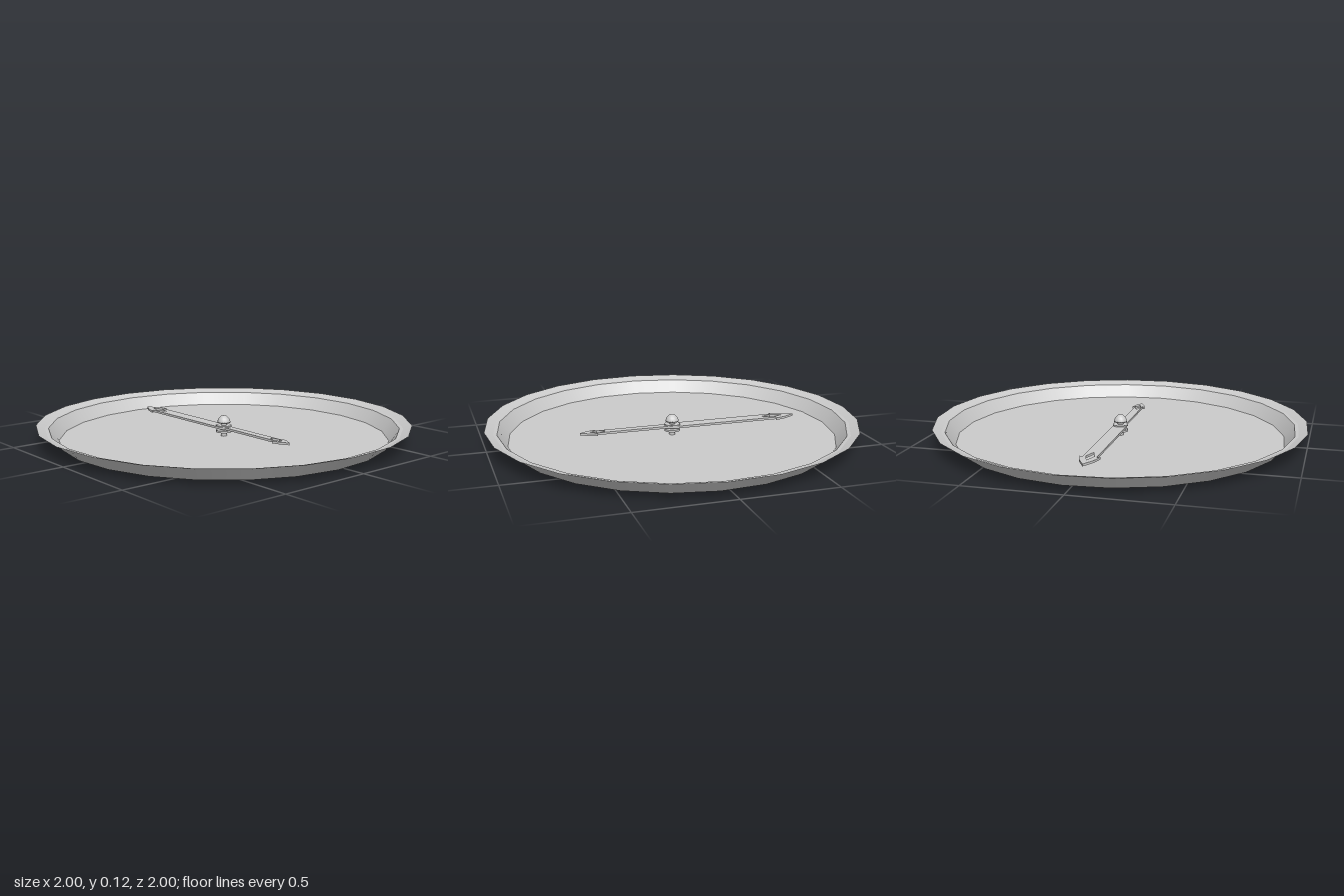
import * as THREE from 'three';

const material = new THREE.MeshStandardMaterial({ color: 0xcccccc, side: THREE.DoubleSide });

// One lathe per profile segment: smooth around, sharp between bands
function bands(name, profile, sides, phiStart = 0) {
  const group = new THREE.Group();
  group.name = name;
  for (let i = 0; i < profile.length - 1; i++) {
    const points = [profile[i], profile[i + 1]].map(([r, y]) => new THREE.Vector2(r, y));
    const mesh = new THREE.Mesh(new THREE.LatheGeometry(points, sides, phiStart), material);
    mesh.name = name + 'Band';
    group.add(mesh);
  }
  return group;
}

function diamond(y0, yMid, y1, halfWidth) {
  const hole = new THREE.Path();
  hole.moveTo(0, y0);
  hole.lineTo(-halfWidth, yMid);
  hole.lineTo(0, y1);
  hole.lineTo(halfWidth, yMid);
  hole.closePath();
  return hole;
}

// Double-ended pointer, wide towards the back and narrow towards the front
function pointer() {
  const right = [
    [0.012, -0.465], [0.037, -0.42], [0.022, -0.435], [0.022, -0.03],
    [0.036, 0], [0.036, 0.6], [0.053, 0.59], [0.036, 0.65],
  ];
  const outline = [
    [0, -0.51], [0.023, -0.47], ...right.slice(1), [0, 0.715],
    ...right.slice(1).reverse().map(([x, y]) => [-x, y]), [-0.023, -0.47],
  ];
  const shape = new THREE.Shape(outline.map(([x, y]) => new THREE.Vector2(x, y)));
  shape.holes.push(diamond(0.52, 0.585, 0.65, 0.021), diamond(-0.46, -0.415, -0.365, 0.02));
  const geometry = new THREE.ExtrudeGeometry(shape, { depth: 0.012, bevelEnabled: false });
  geometry.rotateX(-Math.PI / 2);
  const mesh = new THREE.Mesh(geometry, material);
  mesh.name = 'pointer';
  mesh.position.y = 0.043;
  return mesh;
}

export function createModel() {
  const model = new THREE.Group();
  model.name = 'spinnerTray';

  // Thin dish: sloped lip, narrow ledge, flared wall, floor
  model.add(bands('tray', [
    [1.003, 0.088], [0.957, 0.072], [0.938, 0.07], [0.885, 0.002], [0.012, 0.002],
  ], 24, THREE.MathUtils.degToRad(-3)));

  // Pin with a washer under the pointer
  model.add(bands('pin', [
    [0, 0.085], [0.016, 0.085], [0.016, 0.035], [0.042, 0.035], [0.042, 0.024],
    [0.016, 0.024], [0.016, 0], [0, 0],
  ].reverse(), 16));

  model.add(pointer());

  // Collar and domed knob on top of the pin
  model.add(bands('collar', [[0.016, 0.055], [0.042, 0.055], [0.042, 0.062], [0.016, 0.062]], 16));
  const dome = [[0, 0.076], [0.036, 0.076], [0.035, 0.084], [0.029, 0.098], [0.015, 0.112], [0, 0.116]];
  const knob = new THREE.Mesh(
    new THREE.LatheGeometry(dome.map(([r, y]) => new THREE.Vector2(r, y)), 16), material);
  knob.name = 'knob';
  model.add(knob);

  return model;
}
